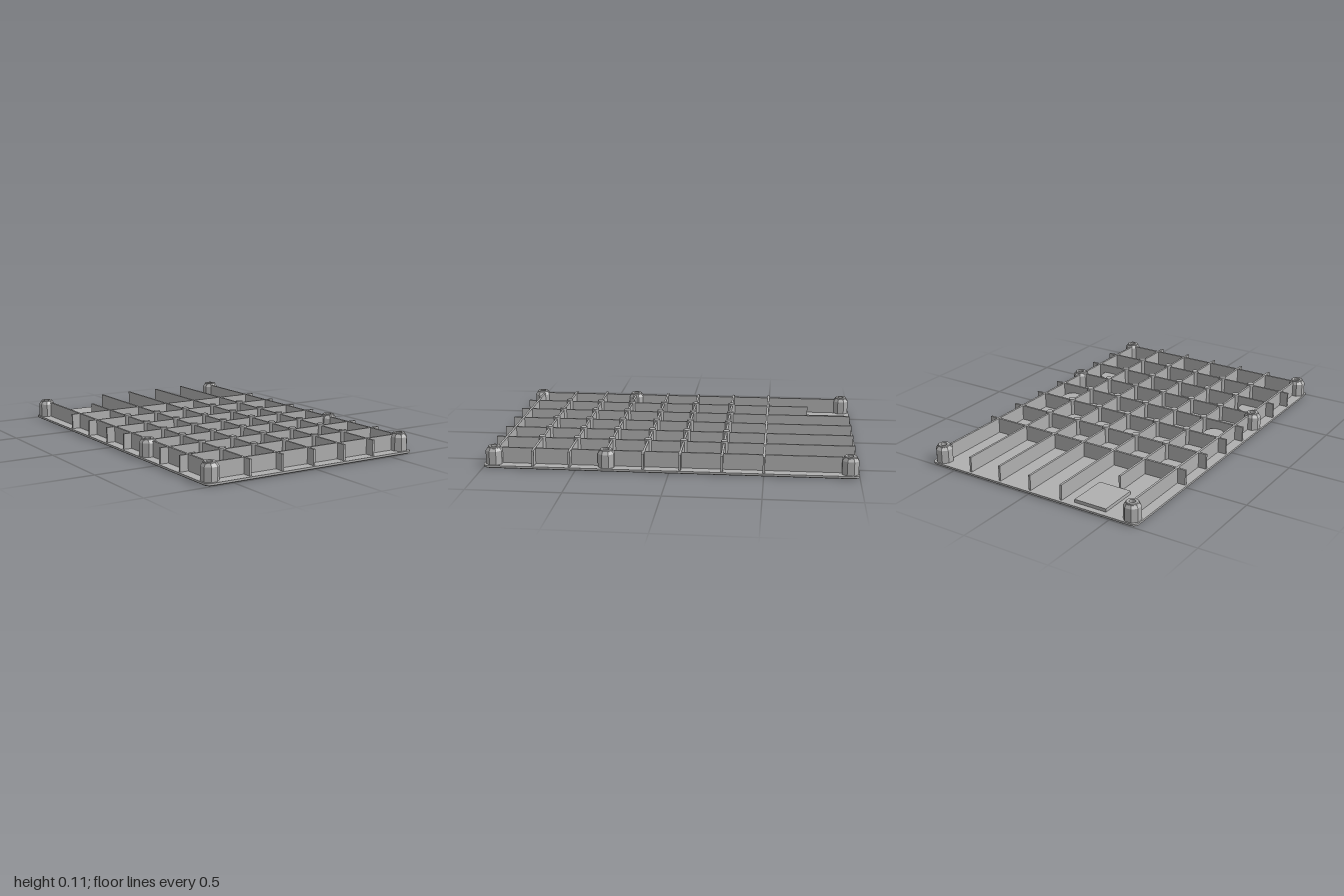
import * as THREE from 'three';
import { toCreasedNormals } from 'three/addons/utils/BufferGeometryUtils.js';

const grey = new THREE.MeshStandardMaterial({ color: 0xb0b0b0 });
grey.name = 'grey plastic';

const PLATE_TOP = 0.016, RIB_TOP = 0.102, PAD_TOP = 0.112, RIB_W = 0.012;
const BOSS_X = 0.605, BOSS_Z = [-0.95, 0.338, 0.945];
const POCKET_X = 0.493, POCKET_Z = [0.04, 0.538];
const HALF_X = 0.655, HALF_Z = 1;

function add(parent, name, geometry, x = 0, y = 0, z = 0) {
  const mesh = new THREE.Mesh(geometry, grey);
  mesh.name = name;
  mesh.position.set(x, y, z);
  parent.add(mesh);
  return mesh;
}

// Box given by its limits
function slab(parent, name, x0, x1, y0, y1, z0, z1) {
  return add(parent, name, new THREE.BoxGeometry(x1 - x0, y1 - y0, z1 - z0),
    (x0 + x1) / 2, (y0 + y1) / 2, (z0 + z1) / 2);
}

// Extrude a plan shape upward; plan y is -z
function extrudeUp(shape, depth) {
  const g = new THREE.ExtrudeGeometry(shape, { depth, bevelEnabled: false, curveSegments: 16 });
  return g.rotateX(-Math.PI / 2);
}

function roundedRect(hx, hz, r) {
  const s = new THREE.Shape();
  s.absarc(hx - r, hz - r, r, 0, Math.PI / 2);
  s.absarc(-hx + r, hz - r, r, Math.PI / 2, Math.PI);
  s.absarc(-hx + r, -hz + r, r, Math.PI, Math.PI * 1.5);
  s.absarc(hx - r, -hz + r, r, Math.PI * 1.5, Math.PI * 2);
  s.closePath();
  return s;
}

// Stadium outline with its long axis along z
function capsule(halfW, halfL) {
  const s = new THREE.Shape(), c = halfL - halfW;
  s.absarc(0, c, halfW, 0, Math.PI);
  s.absarc(0, -c, halfW, Math.PI, Math.PI * 2);
  s.closePath();
  return s;
}

// Keyhole: wide head toward the front, narrow slot toward the back
function keyhole(x, z) {
  const p = new THREE.Path(), head = 0.037, slot = 0.018;
  const a = Math.asin(slot / head);
  p.absarc(x, -z - 0.04, head, Math.PI / 2 + a, Math.PI * 2.5 - a);
  p.absarc(x, -z + 0.045, slot, 0, Math.PI);
  p.closePath();
  return p;
}

function plateShape(withFeet) {
  const s = roundedRect(HALF_X, HALF_Z, 0.03);
  for (const side of [-1, 1]) {
    for (const z of BOSS_Z) s.holes.push(new THREE.Path().absarc(side * BOSS_X, -z, 0.026, 0, Math.PI * 2));
    for (const z of POCKET_Z) s.holes.push(keyhole(side * POCKET_X, z));
    if (!withFeet) continue;
    for (const end of [-1, 1]) {
      const x = side * 0.45, y = end * 0.86, w = 0.095, h = 0.113;
      s.holes.push(new THREE.Path([[-w, -h], [w, -h], [w, h], [-w, h]]
        .map(([u, v]) => new THREE.Vector2(x + u, y + v))));
    }
  }
  return s;
}

export function createModel() {
  const model = new THREE.Group();
  model.name = 'ribbedBasePlate';

  // Base plate: lower skin with foot recesses and a chamfered rim, then the upper skin
  const lower = extrudeUp(plateShape(true), 0.005);
  const p = lower.attributes.position;
  for (let i = 0; i < p.count; i++) {
    const x = p.getX(i), z = p.getZ(i);
    if (p.getY(i) < 0.001 && (Math.abs(x) > 0.64 || Math.abs(z) > 0.98)) {
      p.setX(i, x * 0.988);
      p.setZ(i, z * 0.993);
    }
  }
  lower.computeVertexNormals();
  add(model, 'plateUnderside', lower);
  add(model, 'plate', extrudeUp(plateShape(false), PLATE_TOP - 0.005), 0, 0.005, 0);

  // Rib grid
  const ribs = new THREE.Group();
  ribs.name = 'ribs';
  model.add(ribs);
  const y0 = 0.012, h = RIB_W / 2;
  const longX = [-0.393, -0.197, 0, 0.197, 0.393];
  const crossZ = [-0.5, -0.279, -0.057, 0.139, 0.338, 0.533, 0.729];
  longX.forEach((x, i) => slab(ribs, 'longRib', x - h, x + h, y0, RIB_TOP, i === 0 ? -0.74 : -0.985, 0.985));
  for (const z of crossZ) {
    const reach = z === BOSS_Z[1] ? 0.57 : 0.645;
    slab(ribs, 'crossRib', -reach, reach, y0, RIB_TOP, z - h, z + h);
  }
  slab(ribs, 'frontRib', -0.57, 0.57, y0, RIB_TOP, 0.928 - h, 0.928 + h);
  for (const side of [-1, 1]) {
    for (let i = 0; i < 2; i++) {
      slab(ribs, 'sideRib', side * 0.592 - h, side * 0.592 + h, y0, RIB_TOP, BOSS_Z[i] + 0.04, BOSS_Z[i + 1] - 0.04);
    }
  }

  // Round support posts at the crossings
  const post = new THREE.CylinderGeometry(0.02, 0.02, PAD_TOP - y0, 16);
  for (const x of longX) {
    for (const z of crossZ.slice(1)) add(model, 'supportPost', post, x, (PAD_TOP + y0) / 2, z);
  }

  // Screw bosses: faceted tower, round collar and stepped bore
  const v = (pts) => pts.map(([r, y]) => new THREE.Vector2(r, y));
  const tower = toCreasedNormals(new THREE.LatheGeometry(
    v([[0.047, y0], [0.047, 0.09], [0.037, 0.105], [0.028, 0.105]]), 8, Math.PI / 8), 0.4);
  const collar = toCreasedNormals(new THREE.LatheGeometry(
    v([[0.034, 0.1], [0.034, 0.11], [0.031, 0.113], [0.017, 0.113], [0.017, 0.06], [0.026, 0.06], [0.026, 0]]), 24), 0.6);
  for (const side of [-1, 1]) {
    for (const z of BOSS_Z) {
      const boss = new THREE.Group();
      boss.name = 'screwBoss';
      boss.position.set(side * BOSS_X, 0, z);
      add(boss, 'bossTower', tower);
      add(boss, 'bossCollar', collar);
      model.add(boss);
    }
  }

  // Hollow covers over the keyhole slots
  const wallShape = capsule(0.053, 0.095);
  wallShape.holes.push(capsule(0.045, 0.087));
  const wall = extrudeUp(wallShape, 0.034);
  const lid = extrudeUp(capsule(0.053, 0.095), 0.008);
  for (const side of [-1, 1]) {
    for (const z of POCKET_Z) {
      add(model, 'keyholeCoverWall', wall, side * POCKET_X, 0.012, z);
      add(model, 'keyholeCoverLid', lid, side * POCKET_X, 0.046, z);
    }
  }

  // Raised rectangular pad in the back corner
  slab(model, 'raisedPad', -0.46, -0.27, y0, 0.034, -0.967, -0.74);

  return model;
}
